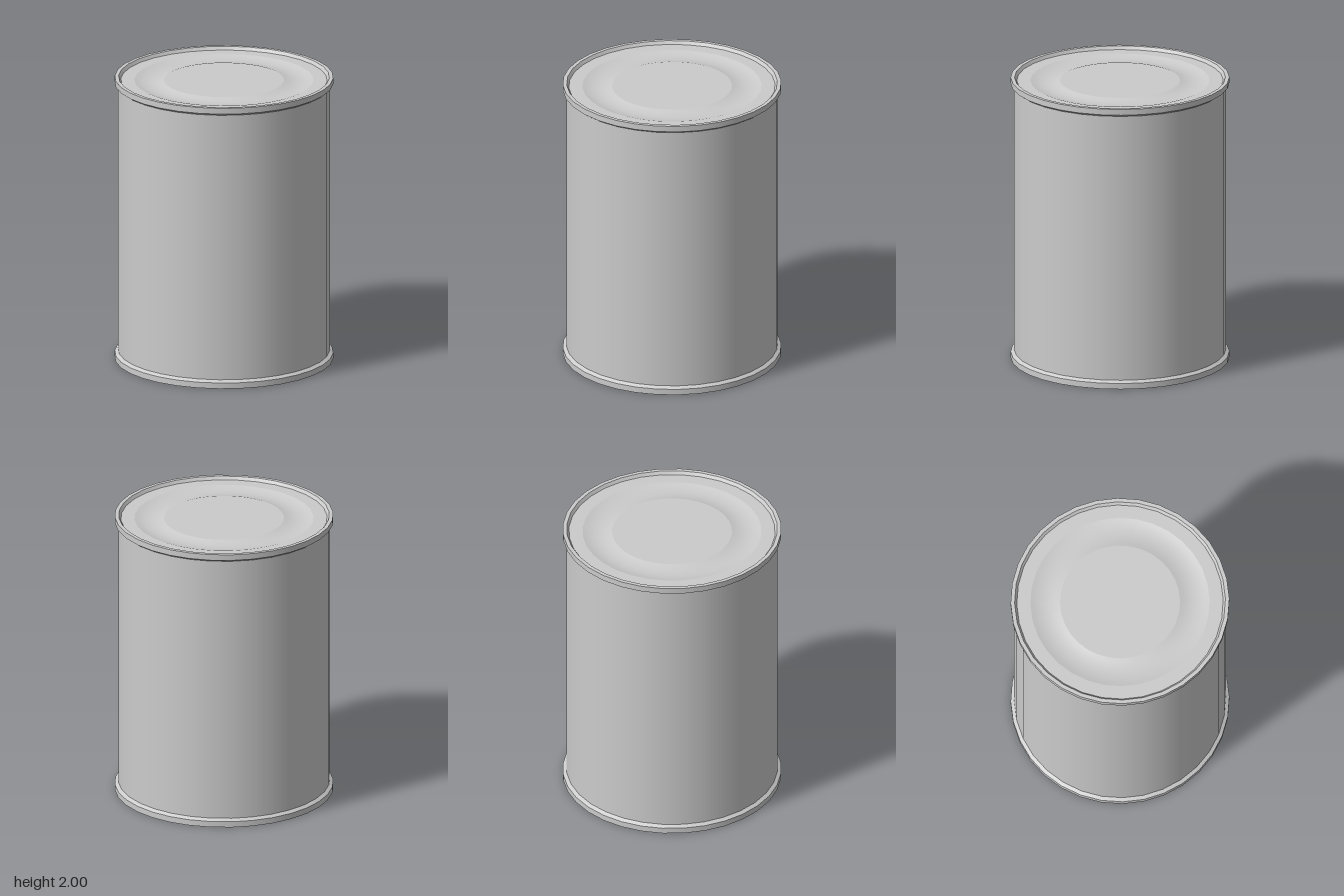
import * as THREE from 'three';

const SIDES = 32;
const HEIGHT = 2;
const BODY_R = 0.723, RIM_R = 0.747, RIM_IN = 0.72, LID_R = 0.705;
const LID_DEPTH = 0.022;
const GROOVE_OUT = 0.612, GROOVE_IN = 0.41, GROOVE_DEPTH = 0.016;

const material = new THREE.MeshStandardMaterial({ color: 0xcccccc });

// One smooth band of revolution; separate bands meet in sharp edges.
function band(name, points) {
  const profile = points.map(([r, y]) => new THREE.Vector2(r, y));
  const mesh = new THREE.Mesh(new THREE.LatheGeometry(profile, SIDES), material);
  mesh.name = name;
  return mesh;
}

// Shallow concave ring pressed into the lid, from outside to inside.
function grooveProfile(y, steps = 8) {
  return Array.from({ length: steps + 1 }, (_, i) => {
    const t = i / steps;
    const r = THREE.MathUtils.lerp(GROOVE_OUT, GROOVE_IN, t);
    return [r, y - GROOVE_DEPTH * 4 * t * (1 - t)];
  });
}

// Rim and recessed lid for one end; the bottom end is the mirrored profile.
function canEnd(name, isTop) {
  const lidY = HEIGHT - LID_DEPTH;
  const parts = {
    rimTaper: [[BODY_R, 1.943], [RIM_R, 1.959]],
    rimSide: [[RIM_R, 1.959], [RIM_R, HEIGHT]],
    rimEdge: [[RIM_R, HEIGHT], [RIM_IN, HEIGHT]],
    rimInnerWall: [[RIM_IN, HEIGHT], [LID_R, lidY]],
    lidBorder: [[LID_R, lidY], [GROOVE_OUT, lidY]],
    lidGroove: grooveProfile(lidY),
    lidCentre: [[GROOVE_IN, lidY], [0, lidY]],
  };
  const group = new THREE.Group();
  group.name = name;
  for (const [part, points] of Object.entries(parts)) {
    const profile = isTop ? points : points.map(([r, y]) => [r, HEIGHT - y]).reverse();
    group.add(band(part, profile));
  }
  return group;
}

export function createModel() {
  const can = new THREE.Group();
  can.name = 'tinCan';
  can.add(
    band('body', [[BODY_R, 0.057], [BODY_R, 1.943]]),
    canEnd('topEnd', true),
    canEnd('bottomEnd', false),
  );
  return can;
}
